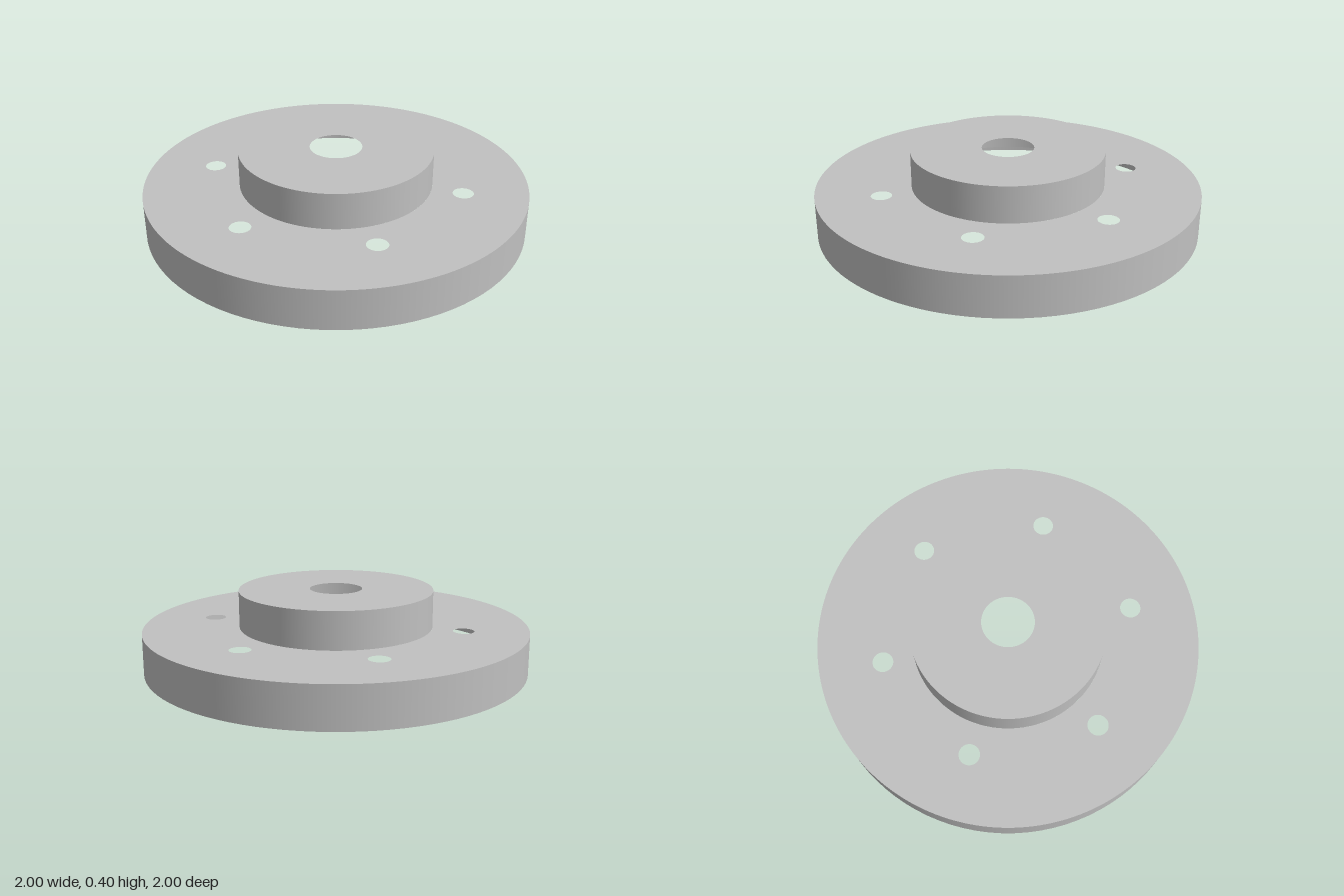
import * as THREE from 'three';

const SEGMENTS = 96;
const RIM_RADIUS = 1, HUB_RADIUS = 0.505, BORE_RADIUS = 0.136;
const FLANGE_Y = 0.212, HUB_Y = 0.404;
const BOLT_COUNT = 6, BOLT_CIRCLE = 0.668, BOLT_RADIUS = 0.054;

export function createModel() {
  const metal = new THREE.MeshStandardMaterial({ color: 0xc0c0c0, side: THREE.DoubleSide });
  metal.name = 'grey metal';
  const model = new THREE.Group();
  model.name = 'flangedHub';

  const add = (name, geometry, y) => {
    const mesh = new THREE.Mesh(geometry, metal);
    mesh.name = name;
    mesh.position.y = y;
    model.add(mesh);
  };

  // Open sheet wall standing between two heights
  const wall = (name, radius, y0, y1) =>
    add(name, new THREE.CylinderGeometry(radius, radius, y1 - y0, SEGMENTS, 1, true), (y0 + y1) / 2);

  // Flat sheet disc with round holes, each given as [x, z, radius]
  const plate = (name, radius, holes, y) => {
    const shape = new THREE.Shape().absarc(0, 0, radius, 0, Math.PI * 2, false);
    for (const [x, z, r] of holes) {
      shape.holes.push(new THREE.Path().absarc(x, -z, r, 0, Math.PI * 2, true));
    }
    add(name, new THREE.ShapeGeometry(shape, SEGMENTS).rotateX(-Math.PI / 2), y);
  };

  const boltHoles = Array.from({ length: BOLT_COUNT }, (_, i) => {
    const a = (i / BOLT_COUNT) * Math.PI * 2;
    return [Math.cos(a) * BOLT_CIRCLE, Math.sin(a) * BOLT_CIRCLE, BOLT_RADIUS];
  });

  // Wide flange, hollow and open underneath
  wall('flangeRim', RIM_RADIUS, 0, FLANGE_Y);
  plate('flangePlate', RIM_RADIUS, [[0, 0, HUB_RADIUS], ...boltHoles], FLANGE_Y);

  // Raised hub with the centre bore
  wall('hubWall', HUB_RADIUS, FLANGE_Y, HUB_Y);
  plate('hubTop', HUB_RADIUS, [[0, 0, BORE_RADIUS]], HUB_Y);

  return model;
}
